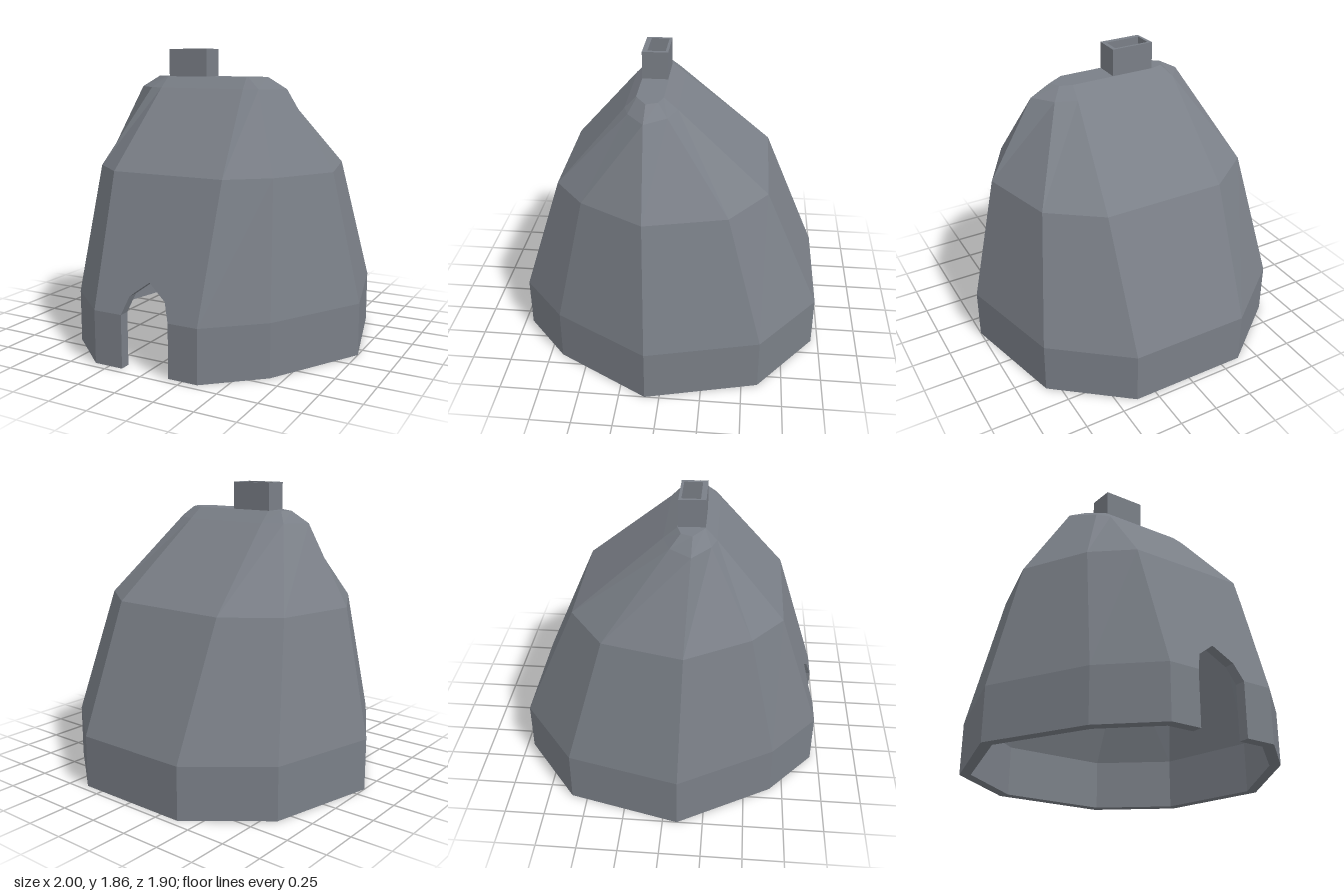
import * as THREE from 'three';

// Half outlines [x, z] of the shell at each height, front to back on the +x side
const BASE = [[0.35, 0.95], [0.67, 0.67], [1, 0.09], [0.83, -0.6], [0.38, -0.955]];
const LEVELS = [
  { y: 0, half: BASE },
  { y: 0.33, half: BASE },
  { y: 1.13, half: [[0.37, 0.69], [0.6, 0.5], [0.82, 0.11], [0.7, -0.38], [0.39, -0.61]] },
  { y: 1.62, half: [[0.29, 0.27], [0.38, 0.24], [0.52, 0.13], [0.42, 0], [0.29, -0.05]] },
  { y: 1.69, half: [[0.28, 0.2], [0.29, 0.195], [0.39, 0.13], [0.36, 0.06], [0.28, 0.035]] },
];
// Doorway outline [x, y] from the foot on +x, over the peak, to the foot on -x
const DOOR = [[0.16, 0], [0.16, 0.33], [0.12, 0.44], [0, 0.53], [-0.12, 0.44], [-0.16, 0.33], [-0.16, 0]];

// Full ten-point ring, optionally shrunk about its centre
function ring({ y, half }, scale = 1, cz = 0, height = y) {
  const full = [...half, ...half.map(([x, z]) => [-x, z]).reverse()];
  return full.map(([x, z]) => [x * scale, height, cz + (z - cz) * scale]);
}

// Doorway outline laid onto the front panel of a set of rings
function doorOn(rings) {
  const [a, b] = [rings[1][0], rings[2][0]];
  return DOOR.map(([x, y]) => {
    const t = Math.max(0, (y - a[1]) / (b[1] - a[1]));
    return [x, y, a[2] + (b[2] - a[2]) * t];
  });
}

// Collects flat faces into one geometry
function faceBuilder() {
  const pos = [];
  const tri = (a, b, c) => pos.push(...a, ...b, ...c);
  const quad = (a, b, c, d) => { tri(a, b, c); tri(a, c, d); };
  const build = () => {
    const g = new THREE.BufferGeometry();
    g.setAttribute('position', new THREE.Float32BufferAttribute(pos, 3));
    g.computeVertexNormals();
    return g;
  };
  return { tri, quad, build };
}

// Faceted skin with a doorway in its front panel; flip turns it inward
function skin(rings, flip) {
  const f = faceBuilder();
  const tri = (a, b, c) => (flip ? f.tri(a, c, b) : f.tri(a, b, c));
  const quad = (a, b, c, d) => { tri(a, b, c); tri(a, c, d); };
  for (let k = 0; k < rings.length - 1; k++) {
    const [lo, hi] = [rings[k], rings[k + 1]];
    for (let i = 0; i < 10; i++) {
      if (i === 9 && k < 2) continue; // front panel is cut for the door
      const j = (i + 1) % 10;
      quad(lo[i], lo[j], hi[j], hi[i]);
    }
  }
  // Panel around the doorway
  const d = doorOn(rings);
  const [L, R] = [rings.map((r) => r[9]), rings.map((r) => r[0])];
  quad(L[0], d[6], d[5], L[1]);
  quad(d[0], R[0], R[1], d[1]);
  tri(L[1], d[5], d[4]);
  tri(L[1], d[4], L[2]);
  tri(d[4], d[3], L[2]);
  tri(d[3], R[2], L[2]);
  tri(d[3], d[2], R[2]);
  tri(d[2], R[1], R[2]);
  tri(d[2], d[1], R[1]);
  // Flat cap
  const top = rings[rings.length - 1];
  for (let i = 1; i < 9; i++) tri(top[0], top[i], top[i + 1]);
  return f.build();
}

export function createModel() {
  const model = new THREE.Group();
  model.name = 'hut';
  const stone = new THREE.MeshStandardMaterial({ color: 0x7a7f87 });
  stone.name = 'grey stone';
  stone.flatShading = true;
  const add = (name, geometry) => {
    const mesh = new THREE.Mesh(geometry, stone);
    mesh.name = name;
    model.add(mesh);
    return mesh;
  };

  const outer = LEVELS.map((l) => ring(l));
  const inner = [
    ring(LEVELS[0], 0.93),
    ring(LEVELS[1], 0.93),
    ring(LEVELS[2], 0.92, 0.04, 1.11),
    ring(LEVELS[3], 0.75, 0.12, 1.6),
  ];
  add('outerWall', skin(outer, false));
  add('innerWall', skin(inner, true));

  // Wall thickness along the foot and around the doorway
  const [od, id] = [doorOn(outer), doorOn(inner)];
  const foot = faceBuilder();
  const [o, n] = [outer[0], inner[0]];
  for (let i = 0; i < 9; i++) foot.quad(o[i], n[i], n[i + 1], o[i + 1]);
  foot.quad(o[9], n[9], id[6], od[6]);
  foot.quad(od[0], id[0], n[0], o[0]);
  add('footRim', foot.build());

  const frame = faceBuilder();
  for (let i = 0; i < 6; i++) frame.quad(od[i], od[i + 1], id[i + 1], id[i]);
  add('doorFrame', frame.build());

  // Hollow chimney standing on the roof cap
  const points = (list) => list.map(([x, z]) => new THREE.Vector2(x, -z));
  const flue = new THREE.Shape(points([[-0.27, 0.2], [0, 0.2], [0, 0.038], [-0.28, 0.038]]));
  flue.holes.push(new THREE.Path(points([[-0.255, 0.168], [-0.255, 0.055], [-0.025, 0.055], [-0.025, 0.168]])));
  const chimney = new THREE.ExtrudeGeometry(flue, { depth: 0.175, bevelEnabled: false });
  chimney.rotateX(-Math.PI / 2);
  add('chimney', chimney).position.y = 1.688;

  return model;
}
